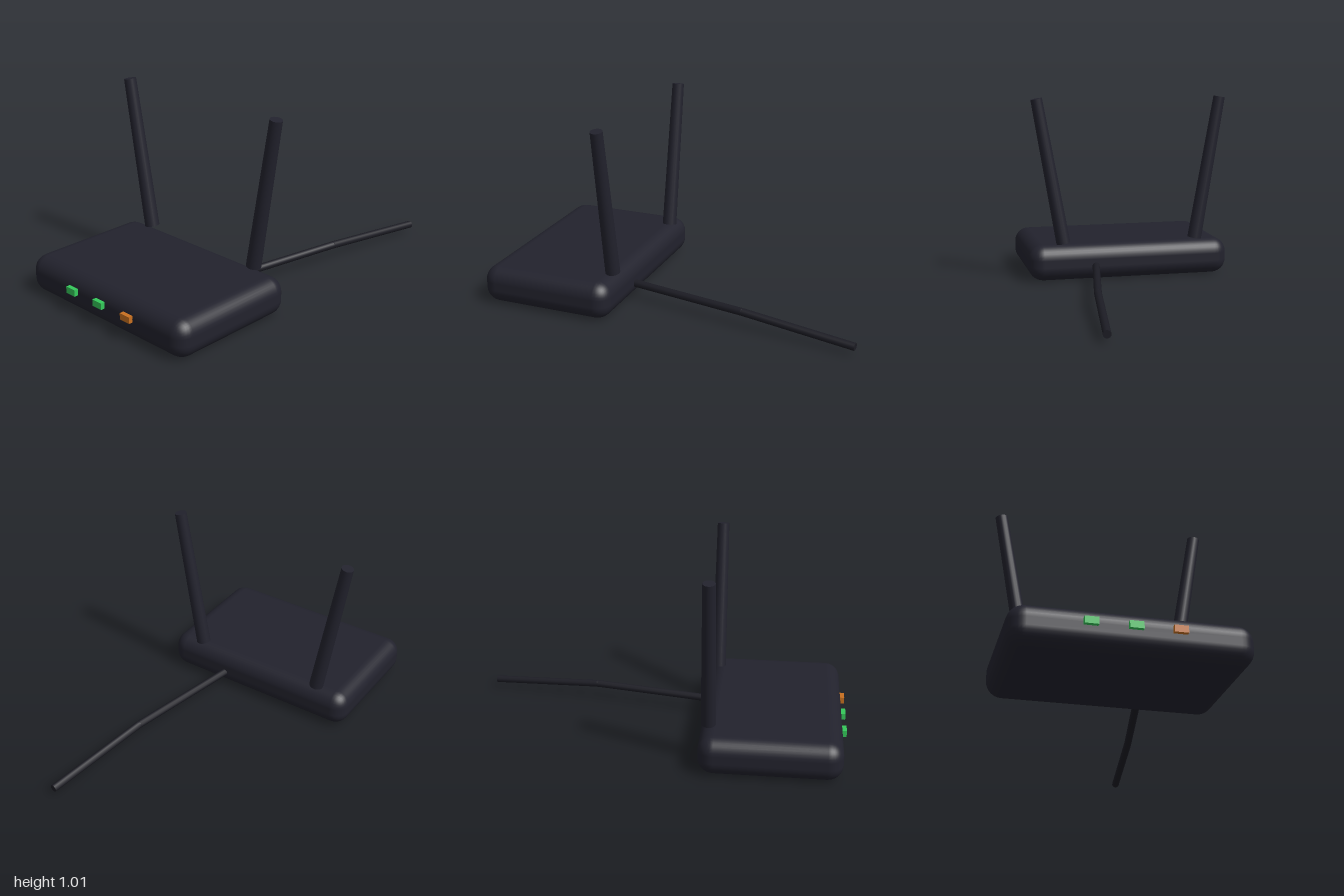
import * as THREE from 'three';
import { RoundedBoxGeometry } from 'three/addons/geometries/RoundedBoxGeometry.js';

function material(name, color) {
  const m = new THREE.MeshStandardMaterial({ color });
  m.name = name;
  return m;
}

export function createModel() {
  const group = new THREE.Group();
  group.name = 'router';

  const shell = material('charcoal plastic', 0x22222d);
  const rubber = material('cable black', 0x1c1c24);
  const green = material('green light', 0x34c85a);
  const orange = material('orange light', 0xc87020);

  const add = (name, geometry, mat, parent = group) => {
    const mesh = new THREE.Mesh(geometry, mat);
    mesh.name = name;
    parent.add(mesh);
    return mesh;
  };

  // Tapered rod running between two points
  const rod = (name, from, to, r0, r1, sides, mat, parent) => {
    const dir = to.clone().sub(from);
    const mesh = add(name, new THREE.CylinderGeometry(r1, r0, dir.length(), sides), mat, parent);
    mesh.position.copy(from).add(to).multiplyScalar(0.5);
    mesh.quaternion.setFromUnitVectors(new THREE.Vector3(0, 1, 0), dir.normalize());
    return mesh;
  };

  // Rounded housing
  add('housing', new RoundedBoxGeometry(1.13, 0.2, 0.725, 4, 0.08), shell)
    .position.set(0, 0.1, 0.617);

  // Two antennas leaning outwards
  for (const [side, s] of [['left', 1], ['right', -1]]) {
    rod(side + 'Antenna',
      new THREE.Vector3(s * 0.375, 0.21, 0.3),
      new THREE.Vector3(s * 0.515, 1.004, 0.3),
      0.039, 0.032, 16, shell);
  }

  // Status lights along the front
  [[-0.202, green], [0, green], [0.202, orange]].forEach(([x, mat], i) => {
    add('statusLight' + (i + 1), new THREE.BoxGeometry(0.065, 0.034, 0.04), mat)
      .position.set(x, 0.122, 0.98);
  });

  // Power cable with one bend, leaving the back
  const cable = new THREE.Group();
  cable.name = 'powerCable';
  group.add(cable);
  const points = [[0.2, 0.082, 0.26], [0.322, 0.082, -0.39], [0.405, 0.042, -0.998]]
    .map((p) => new THREE.Vector3(...p));
  rod('cableInner', points[0], points[1], 0.02, 0.02, 10, rubber, cable);
  rod('cableOuter', points[1], points[2], 0.02, 0.02, 10, rubber, cable);
  add('cableBend', new THREE.SphereGeometry(0.02, 10, 8), rubber, cable).position.copy(points[1]);

  return group;
}
